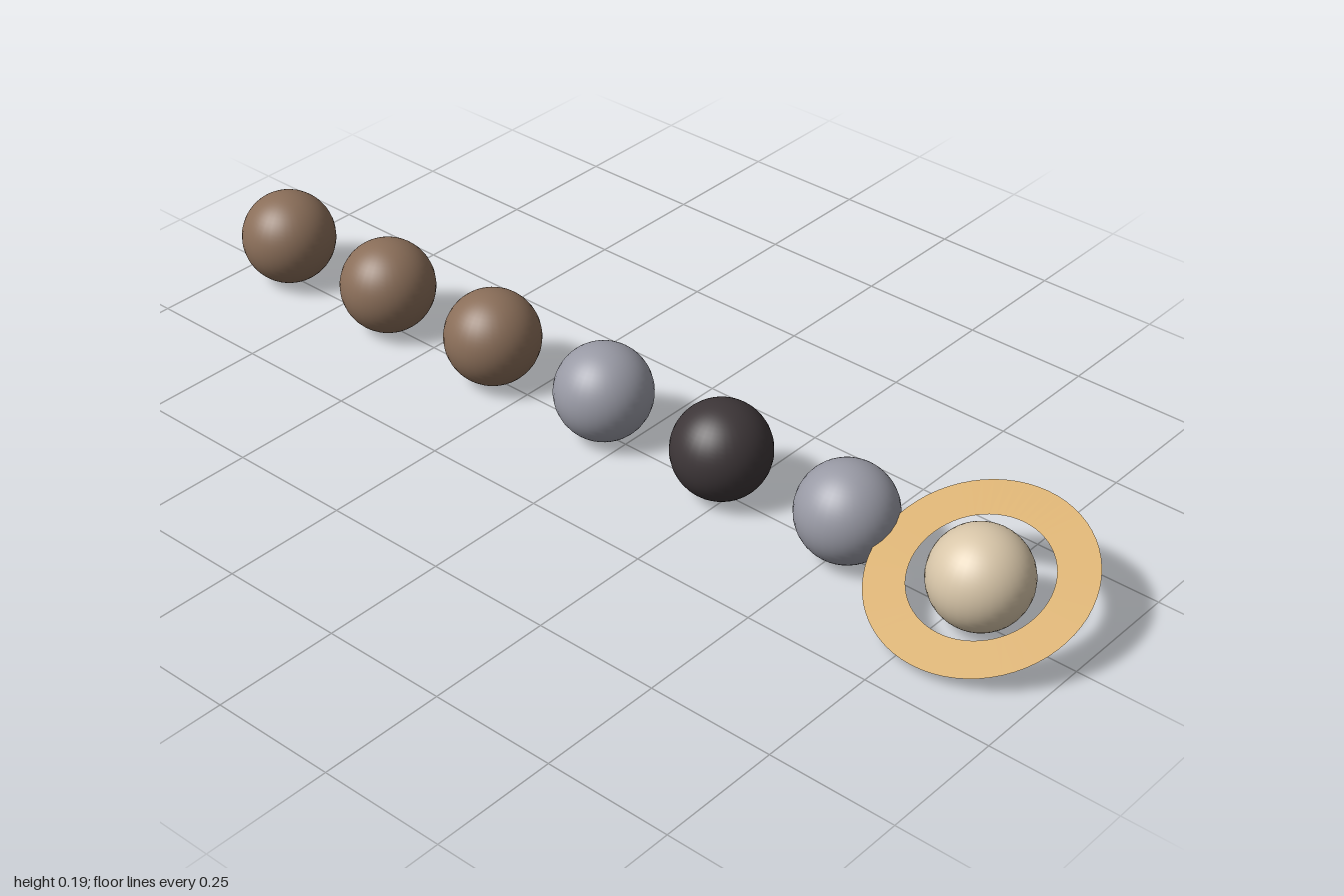
import * as THREE from 'three';

const RADIUS = 0.0946, SPACING = 0.2838, FIRST_X = -1 + RADIUS;

function material(name, color, side = THREE.FrontSide) {
  const m = new THREE.MeshStandardMaterial({ color, side });
  m.name = name;
  return m;
}

export function createModel() {
  const group = new THREE.Group();
  group.name = 'planetRow';

  const brown = material('brown', 0x8a6e59);
  const grey = material('grey', 0x999aa5);
  const charcoal = material('charcoal', 0x3d3638);
  const cream = material('cream', 0xd8c6a9);
  const gold = material('ring gold', 0xd4aa66, THREE.DoubleSide);

  // Row of equal planets along x
  const sphere = new THREE.SphereGeometry(RADIUS, 32, 32);
  const row = [brown, brown, brown, grey, charcoal, grey, cream];
  row.forEach((mat, i) => {
    const planet = new THREE.Mesh(sphere, mat);
    planet.name = i === row.length - 1 ? 'ringedPlanet' : `planet${i + 1}`;
    planet.position.set(FIRST_X + i * SPACING, RADIUS, 0);
    group.add(planet);
  });

  // Flat ring around the last planet, its front edge tipped down
  const ring = new THREE.Mesh(new THREE.RingGeometry(0.1284, 0.2027, 64), gold);
  ring.name = 'planetRing';
  ring.rotation.x = -Math.PI / 2 + 0.39;
  ring.position.set(FIRST_X + 6 * SPACING, RADIUS + 0.001, 0);
  group.add(ring);

  return group;
}
